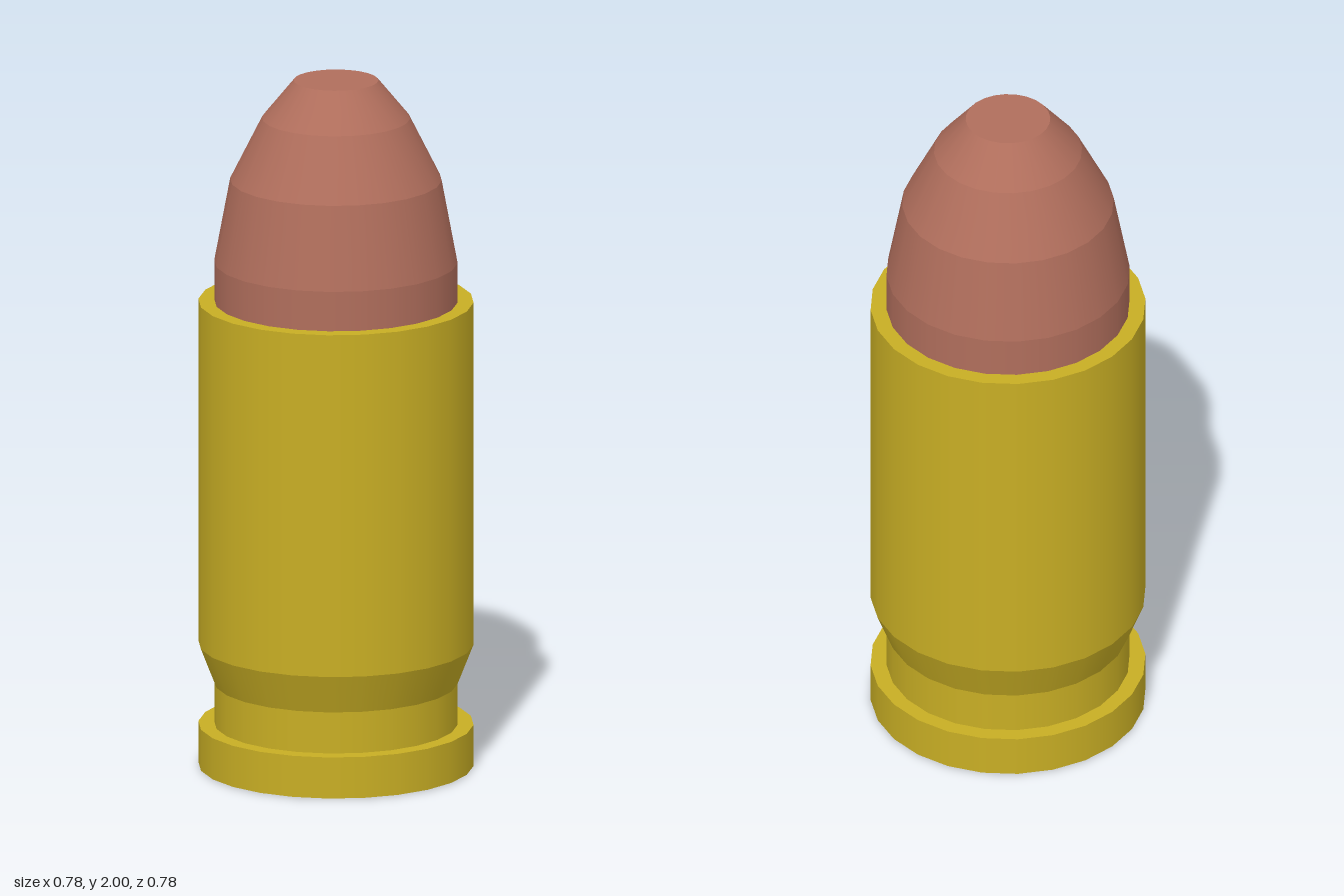
import * as THREE from 'three';
import { mergeGeometries } from 'three/addons/utils/BufferGeometryUtils.js';

const SIDES = 24;

// Turns a [radius, height] profile: smooth around the axis, crisp between bands.
function turned(name, color, profile) {
  const bands = [];
  for (let i = 0; i < profile.length - 1; i++) {
    const ends = [profile[i], profile[i + 1]].map(([r, y]) => new THREE.Vector2(r, y));
    bands.push(new THREE.LatheGeometry(ends, SIDES));
  }
  const mesh = new THREE.Mesh(
    mergeGeometries(bands),
    new THREE.MeshStandardMaterial({ color })
  );
  mesh.name = name;
  return mesh;
}

export function createModel() {
  const group = new THREE.Group();
  group.name = 'cartridge';

  // Brass case: base ring, rim, extractor groove, bevel, wall and mouth
  group.add(turned('case', 0xc8ae24, [
    [0.2, 0], [0.39, 0], [0.39, 0.12], [0.345, 0.12], [0.345, 0.24],
    [0.39, 0.355], [0.39, 1.355], [0.34, 1.355],
  ]));

  // Copper bullet with a flat nose
  group.add(turned('bullet', 0xb06e5c, [
    [0.345, 1.35], [0.345, 1.47], [0.3, 1.71], [0.21, 1.89], [0.12, 2], [0, 2],
  ]));

  // Primer, flush with the base
  const primer = new THREE.Mesh(
    new THREE.CylinderGeometry(0.217, 0.217, 0.03, SIDES),
    new THREE.MeshStandardMaterial({ color: 0x4a4a4a })
  );
  primer.name = 'primer';
  primer.position.y = 0.014;
  group.add(primer);

  return group;
}
